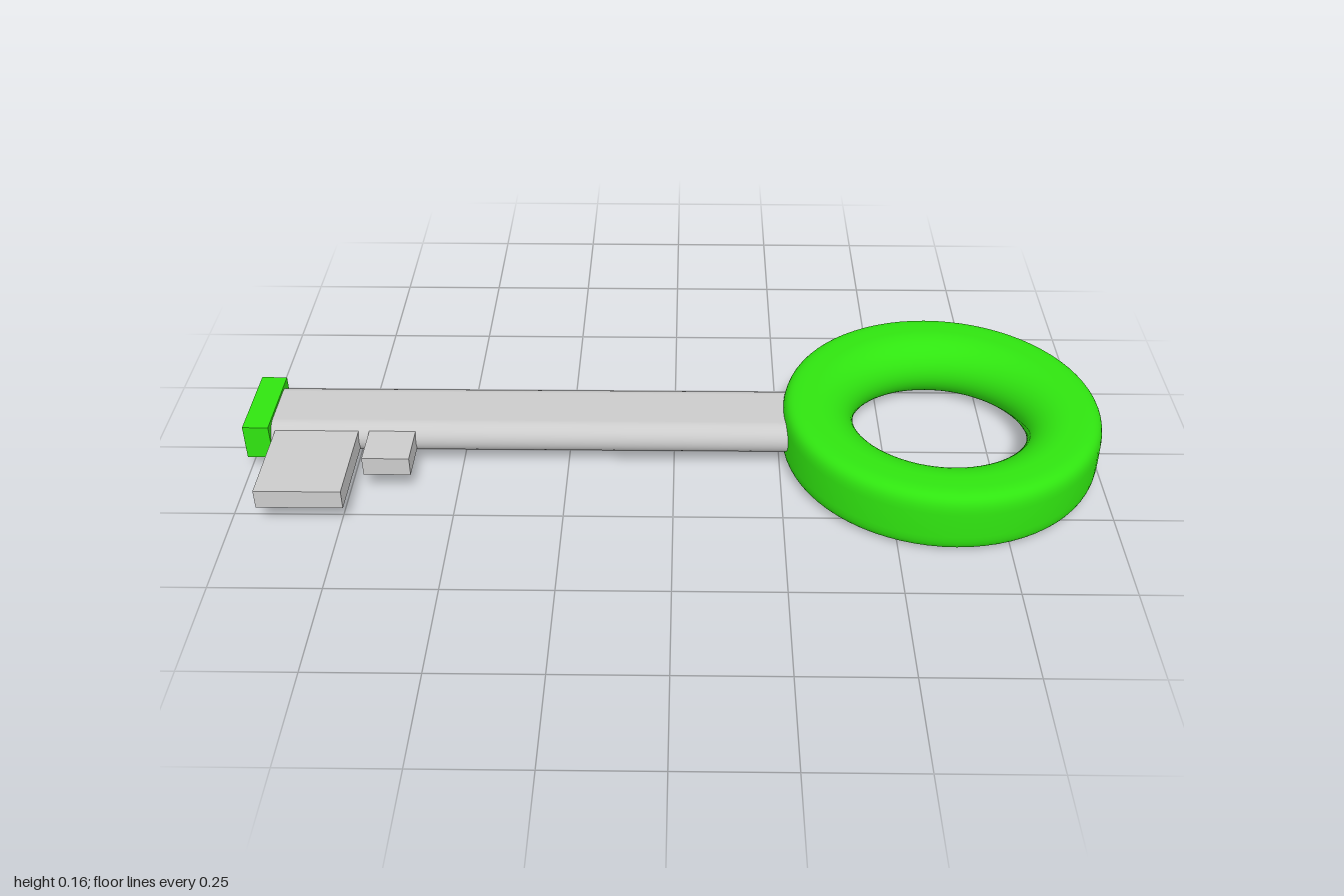
import * as THREE from 'three';

export function createModel() {
  const model = new THREE.Group();
  const green = new THREE.MeshStandardMaterial({ color: 0x30e510 });
  const grey = new THREE.MeshStandardMaterial({ color: 0xcccccc });

  function add(name, geometry, material) {
    const mesh = new THREE.Mesh(geometry, material);
    mesh.name = name;
    model.add(mesh);
    return mesh;
  }

  // Box given by its min and max corners
  function box(name, [x0, y0, z0], [x1, y1, z1], material) {
    const mesh = add(name, new THREE.BoxGeometry(x1 - x0, y1 - y0, z1 - z0), material);
    mesh.position.set((x0 + x1) / 2, (y0 + y1) / 2, (z0 + z1) / 2);
  }

  // Ring handle: squarish outer rim, round inner rim
  const profile = [];
  const steps = 48;
  const power = (v, p) => Math.sign(v) * Math.abs(v) ** p;
  for (let i = 0; i <= steps; i++) {
    const a = (i / steps) * Math.PI * 2 - Math.PI / 2;
    const c = Math.cos(a), s = Math.sin(a);
    const outer = c > 0;
    const p = outer ? 0.45 : 1;
    profile.push(new THREE.Vector2(0.295 + power(c, p) * (outer ? 0.077 : 0.09), power(s, p) * 0.078));
  }
  const ring = add('ringHandle', new THREE.LatheGeometry(profile, 72), green);
  ring.position.set(0.628, 0.079, 0);

  // Shaft: flat bar with rounded long edges, running into the ring
  const r = 0.038, half = 0.094 - r;
  const section = new THREE.Shape();
  section.absarc(half, 0, r, -Math.PI / 2, Math.PI / 2, false);
  section.absarc(-half, 0, r, Math.PI / 2, Math.PI * 1.5, false);
  section.closePath();
  const shaftGeometry = new THREE.ExtrudeGeometry(section, { depth: 1.25, bevelEnabled: false, curveSegments: 12 });
  // Smooth the rounded edges by setting the normals from the section
  const pos = shaftGeometry.attributes.position, nor = shaftGeometry.attributes.normal;
  for (let i = 0; i < pos.count; i++) {
    if (Math.abs(nor.getZ(i)) > 0.5) continue;
    const x = pos.getX(i);
    const n = new THREE.Vector2(x - THREE.MathUtils.clamp(x, -half, half), pos.getY(i)).normalize();
    nor.setXYZ(i, n.x, n.y, 0);
  }
  const shaft = add('shaft', shaftGeometry, grey);
  shaft.rotation.y = Math.PI / 2;
  shaft.position.set(-0.95, 0.083, -0.01);

  // Tip cap and the two bits on the front edge
  box('tipCap', [-1, 0.043, -0.115], [-0.94, 0.128, 0.092], green);
  box('largeBit', [-0.93, 0.062, 0.02], [-0.735, 0.108, 0.302], grey);
  box('smallBit', [-0.71, 0.062, 0.02], [-0.602, 0.108, 0.18], grey);

  return model;
}
